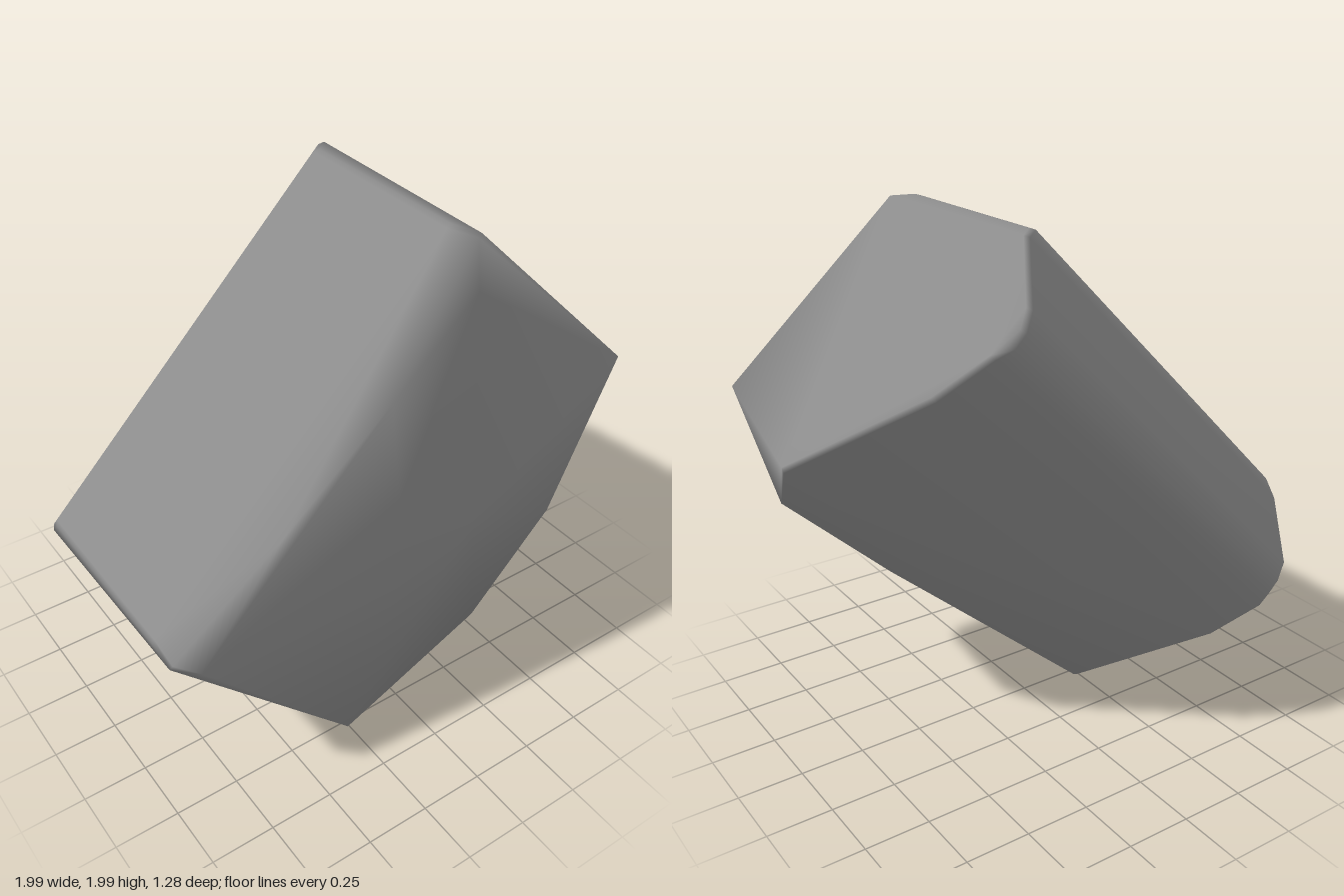
import * as THREE from 'three';
import { ConvexGeometry } from 'three/addons/geometries/ConvexGeometry.js';
import { mergeVertices } from 'three/addons/utils/BufferGeometryUtils.js';

// Point given along (u) and across (v) the block, which leans at 45 degrees
const leaning = (u, v, z) => new THREE.Vector3((u + v) * Math.SQRT1_2, (u - v) * Math.SQRT1_2, z);

export function createModel() {
  const group = new THREE.Group();
  const points = [];

  // Back half: a cross-section [v, z, end inset] carried along the block,
  // with a narrow bevel where it meets each end face
  const section = [
    [-0.16, -0.04, 0], [-0.61, -0.5, 0], [-0.81, -0.62, 0], [-0.87, -0.64, 0.02],
    [-0.93, -0.64, 0.02], [-1.0, -0.61, 0.01],
    [-1.22, -0.38, 0], [-1.27, -0.32, 0.04],
    [-1.27, 0.43, 0.04], [-1.22, 0.52, 0.01],
  ];
  const middle = -0.75, bevel = 0.02;
  for (const [v, z, inset] of section) {
    const inner = middle + (v - middle) * 0.98;
    points.push(leaning(-0.18 + inset + bevel, v, z), leaning(1.58 - inset - bevel, v, z));
    points.push(leaning(-0.18 + inset, inner, z * 0.98), leaning(1.58 - inset, inner, z * 0.98));
  }

  // Front half: worn corners, a bowed upper edge and a slightly domed face
  const front = [
    [-0.9, 0.74, 0.59], [-0.31, 0.1, 0.6], [0.28, 0.36, 0.6], [0.63, 0.72, 0.6],
    [0.93, 1.02, 0.15], [0.9, 1.32, 0.6], [0.18, 1.82, 0.6],
    [-0.57, 1.16, 0.59], [-0.17, 1.54, 0.62],
    [-0.14, 1.15, 0.64], [0.2, 0.9, 0.645], [-0.12, 0.8, 0.64],
  ];
  for (const p of front) points.push(new THREE.Vector3(...p));

  // Shared corners give the soft, worn shading
  const hull = new ConvexGeometry(points);
  hull.deleteAttribute('normal');
  const geometry = mergeVertices(hull, 0.001);
  geometry.computeVertexNormals();

  const rock = new THREE.Mesh(geometry, new THREE.MeshStandardMaterial({ color: 0x8c8c8c }));
  rock.name = 'rock';
  group.add(rock);
  return group;
}
